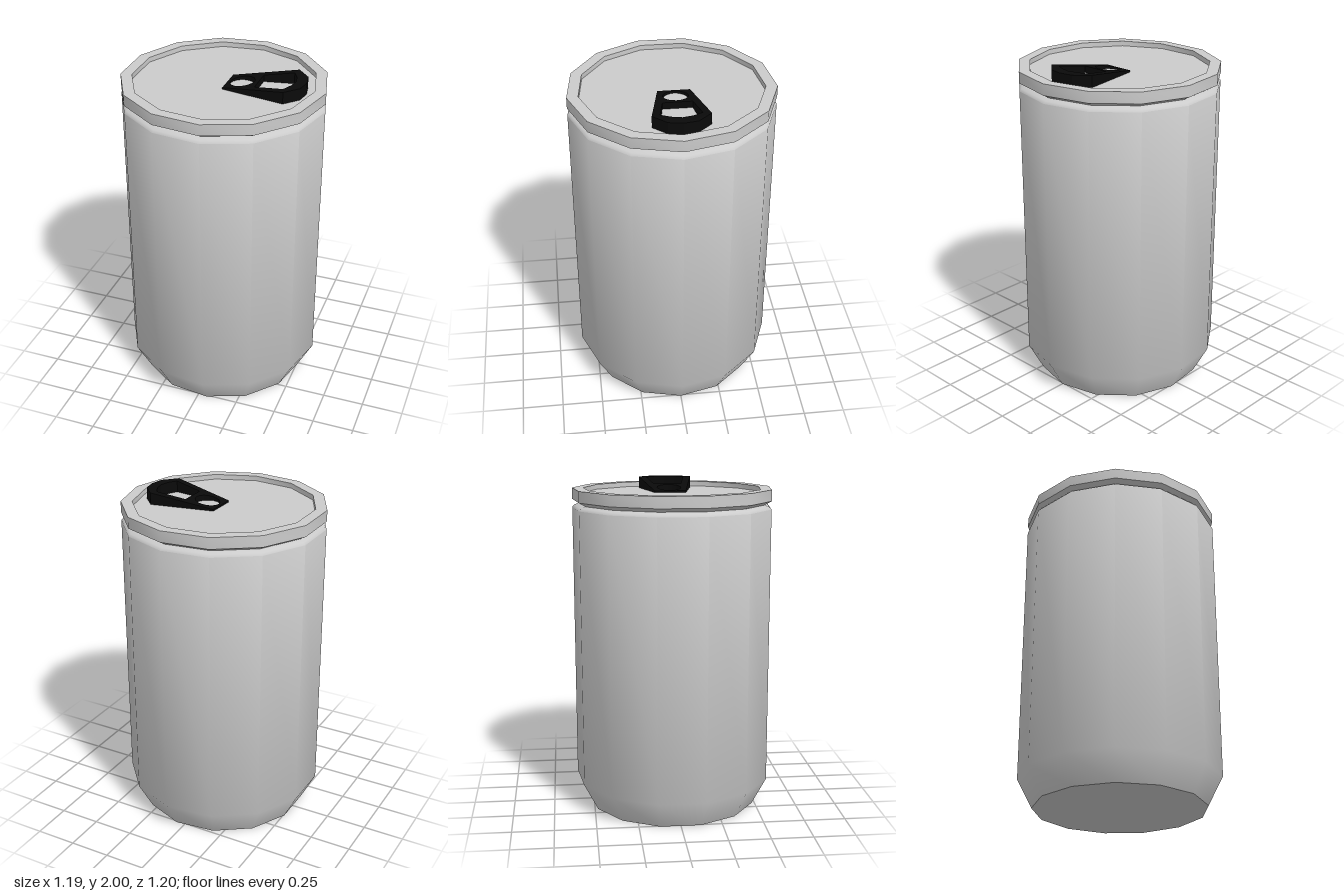
import * as THREE from 'three';
import { toCreasedNormals } from 'three/addons/utils/BufferGeometryUtils.js';

const SIDES = 13;
const CENTRE_X = -0.007;
const LID_Y = 1.93;

// Thirteen-sided turned part, one corner pointing to +x
function turned(name, profile, material) {
  const points = profile.map(([r, y]) => new THREE.Vector2(r, y));
  const lathe = new THREE.LatheGeometry(points, SIDES, Math.PI / 2);
  const mesh = new THREE.Mesh(toCreasedNormals(lathe, THREE.MathUtils.degToRad(45)), material);
  mesh.name = name;
  mesh.position.x = CENTRE_X;
  return mesh;
}

const toPoints = (list) => list.map(([x, y]) => new THREE.Vector2(x, y));

export function createModel() {
  const group = new THREE.Group();
  group.name = 'drinkCan';
  const metal = new THREE.MeshStandardMaterial({ color: 0xcccccc });
  const black = new THREE.MeshStandardMaterial({ color: 0x0a0a0a });

  // Base, tapered foot, wall and shoulder
  group.add(turned('body', [
    [0, 0], [0.515, 0], [0.604, 0.17], [0.604, 1.845], [0.592, 1.859], [0.562, 1.87],
  ], metal));

  // Flared rim above the neck groove, with its inner wall
  group.add(turned('rim', [
    [0.562, 1.87], [0.604, 1.893], [0.604, 1.96], [0.537, 1.96], [0.537, LID_Y],
  ], metal));

  // Recessed lid
  group.add(turned('lid', [[0.537, LID_Y], [0, LID_Y]], metal));

  // Pull tab outline with a round rivet hole and a finger hole
  const outline = new THREE.Shape(toPoints([
    [0.01, -0.094], [0.39, -0.163], [0.465, -0.083], [0.48, 0],
    [0.465, 0.083], [0.39, 0.163], [0.01, 0.094],
  ]));
  const rivetHole = new THREE.Path().absarc(0.1, 0, 0.073, 0, Math.PI * 2, true);
  const fingerHole = new THREE.Path(toPoints([
    [0.2, -0.085], [0.2, 0.085], [0.375, 0.116], [0.405, 0.06],
    [0.418, 0], [0.405, -0.06], [0.375, -0.116],
  ]));
  outline.holes.push(rivetHole, fingerHole);
  const tabGeometry = new THREE.ExtrudeGeometry(outline, {
    depth: 1, bevelEnabled: false, curveSegments: 8,
  });
  tabGeometry.rotateX(-Math.PI / 2);

  // Wedge: the top climbs away from the lid centre, then levels off
  const pos = tabGeometry.attributes.position;
  for (let i = 0; i < pos.count; i++) {
    const top = Math.min(2, 1.94 + (pos.getX(i) - 0.01) * 0.158);
    pos.setY(i, pos.getY(i) > 0.5 ? top : LID_Y);
  }
  tabGeometry.computeVertexNormals();
  const tab = new THREE.Mesh(tabGeometry, black);
  tab.name = 'pullTab';
  tab.position.z = -0.01;
  group.add(tab);

  return group;
}
